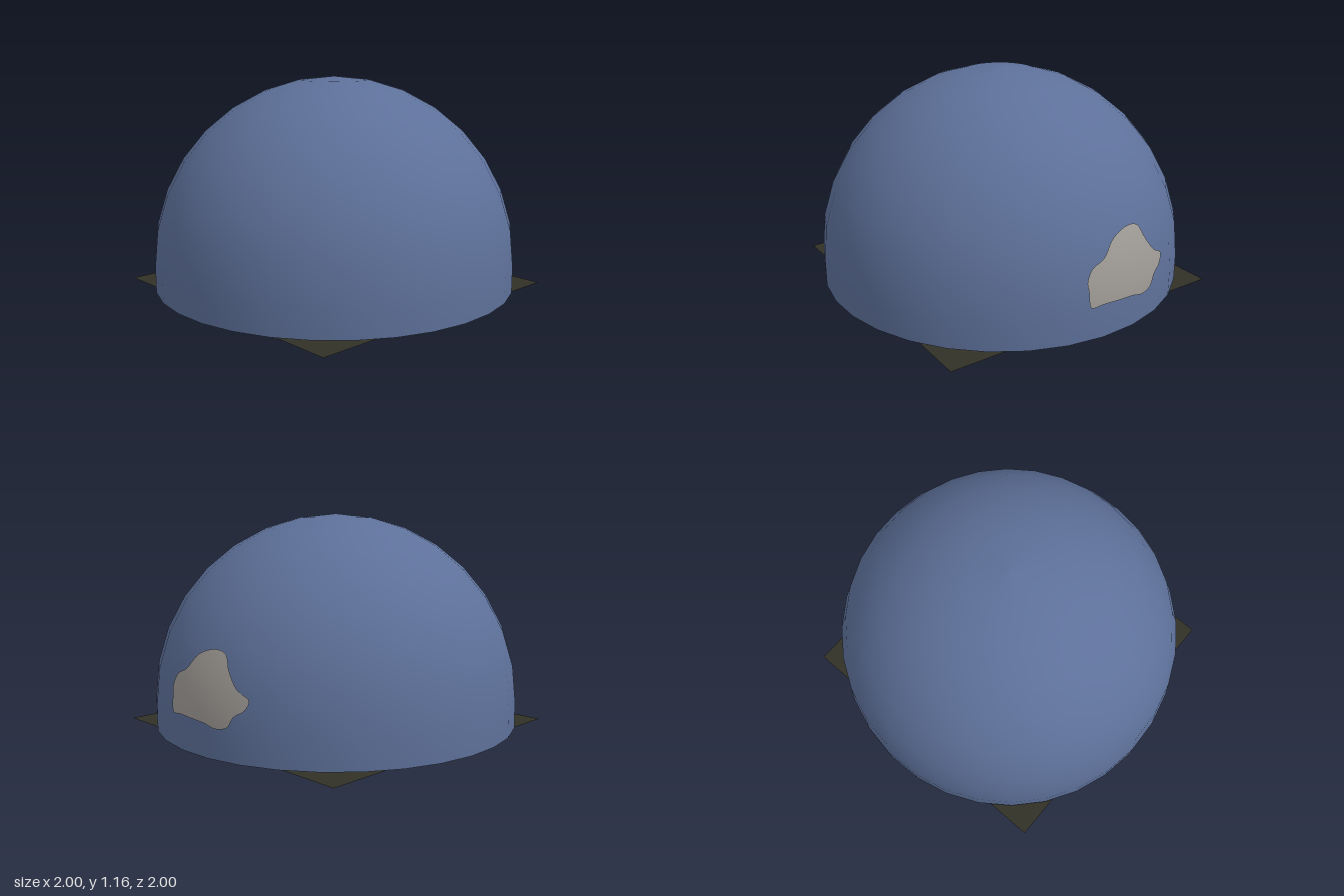
import * as THREE from 'three';

const rad = THREE.MathUtils.degToRad;
const CENTRE_Y = 0.165;

function material(name, color, side = THREE.FrontSide) {
  const m = new THREE.MeshStandardMaterial({ color, side });
  m.name = name;
  return m;
}

function part(name, geometry, mat, y = 0) {
  const mesh = new THREE.Mesh(geometry, mat);
  mesh.name = name;
  mesh.position.y = y;
  return mesh;
}

// Dome shell: hemisphere on a short straight skirt, open below
function domeGeometry() {
  const profile = [new THREE.Vector2(1, 0.02 - CENTRE_Y)];
  for (let i = 0; i <= 8; i++) {
    const a = (i / 8) * Math.PI / 2;
    profile.push(new THREE.Vector2(i === 8 ? 0 : Math.cos(a), Math.sin(a)));
  }
  return new THREE.LatheGeometry(profile, 32);
}

// Irregular patch: a disc stretched to an outline, then laid on the sphere
function patchGeometry() {
  const outline = [
    [-0.69, -0.19], [-0.69, -0.15], [-0.66, -0.1], [-0.6, -0.085], [-0.53, -0.025],
    [-0.43, -0.01], [-0.365, -0.04], [-0.34, -0.12], [-0.29, -0.21], [-0.225, -0.26],
    [-0.25, -0.305], [-0.305, -0.33], [-0.34, -0.375], [-0.405, -0.38],
    [-0.475, -0.35], [-0.55, -0.325], [-0.635, -0.295], [-0.685, -0.28],
  ].reverse().map(([x, y]) => new THREE.Vector3(x, y, 0));
  const curve = new THREE.CatmullRomCurve3(outline, true);
  const middle = new THREE.Vector3(-0.47, -0.2, 0);
  const sides = 64, rings = 6, radius = 1.004;
  const geo = new THREE.RingGeometry(0, 1, sides, rings);
  const pos = geo.attributes.position, nor = geo.attributes.normal;
  for (let j = 0; j <= rings; j++) {
    for (let i = 0; i <= sides; i++) {
      const p = middle.clone().lerp(curve.getPoint((i % sides) / sides), j / rings);
      p.z = Math.sqrt(radius * radius - p.x * p.x - p.y * p.y);
      const k = j * (sides + 1) + i;
      pos.setXYZ(k, p.x, p.y, p.z);
      p.normalize();
      nor.setXYZ(k, p.x, p.y, p.z);
    }
  }
  return geo;
}

// Flat winding ribbon that crosses the ground from edge to edge
function pathGeometry() {
  const points = [
    [0.02, 0.82], [-0.04, 0.64], [-0.02, 0.53], [0.14, 0.32], [0.22, 0.2], [0.25, 0.08],
    [0.23, -0.04], [0.14, -0.12], [-0.05, -0.22], [-0.23, -0.32], [-0.28, -0.43],
    [-0.26, -0.53], [-0.13, -0.66], [-0.08, -0.82],
  ].map(([x, z]) => new THREE.Vector3(x, 0, z));
  const curve = new THREE.CatmullRomCurve3(points);
  const steps = 80, half = 0.022;
  const geo = new THREE.PlaneGeometry(1, 1, 1, steps);
  for (let i = 0; i <= steps; i++) {
    const p = curve.getPoint(i / steps), t = curve.getTangent(i / steps);
    for (let s = 0; s < 2; s++) {
      const w = s ? half : -half;
      const z = THREE.MathUtils.clamp(p.z + t.x * w, -0.82, 0.82);
      geo.attributes.position.setXYZ(i * 2 + s, p.x - t.z * w, 0, z);
    }
  }
  geo.computeVertexNormals();
  return geo;
}

export function createModel() {
  const blue = material('dome blue', 0x5d7099, THREE.DoubleSide);
  const grey = material('patch grey', 0xa09c97);
  const dark = material('ground olive', 0x303026, THREE.DoubleSide);
  const brown = material('path brown', 0x736146, THREE.DoubleSide);

  const model = new THREE.Group();
  model.name = 'domeModel';

  const dome = part('dome', domeGeometry(), blue, CENTRE_Y);
  dome.rotation.y = rad(-3.5);

  const patch = part('patch', patchGeometry(), grey, CENTRE_Y);
  patch.rotation.set(rad(-25), rad(215), 0, 'YXZ');

  const ground = part('ground', new THREE.PlaneGeometry(1.64, 1.64).rotateX(-Math.PI / 2), dark, 0.003);

  // The path shows on both faces of the ground
  const ribbon = pathGeometry();
  model.add(dome, patch, ground,
    part('pathTop', ribbon, brown, 0.006),
    part('pathUnderside', ribbon, brown, 0));
  return model;
}
